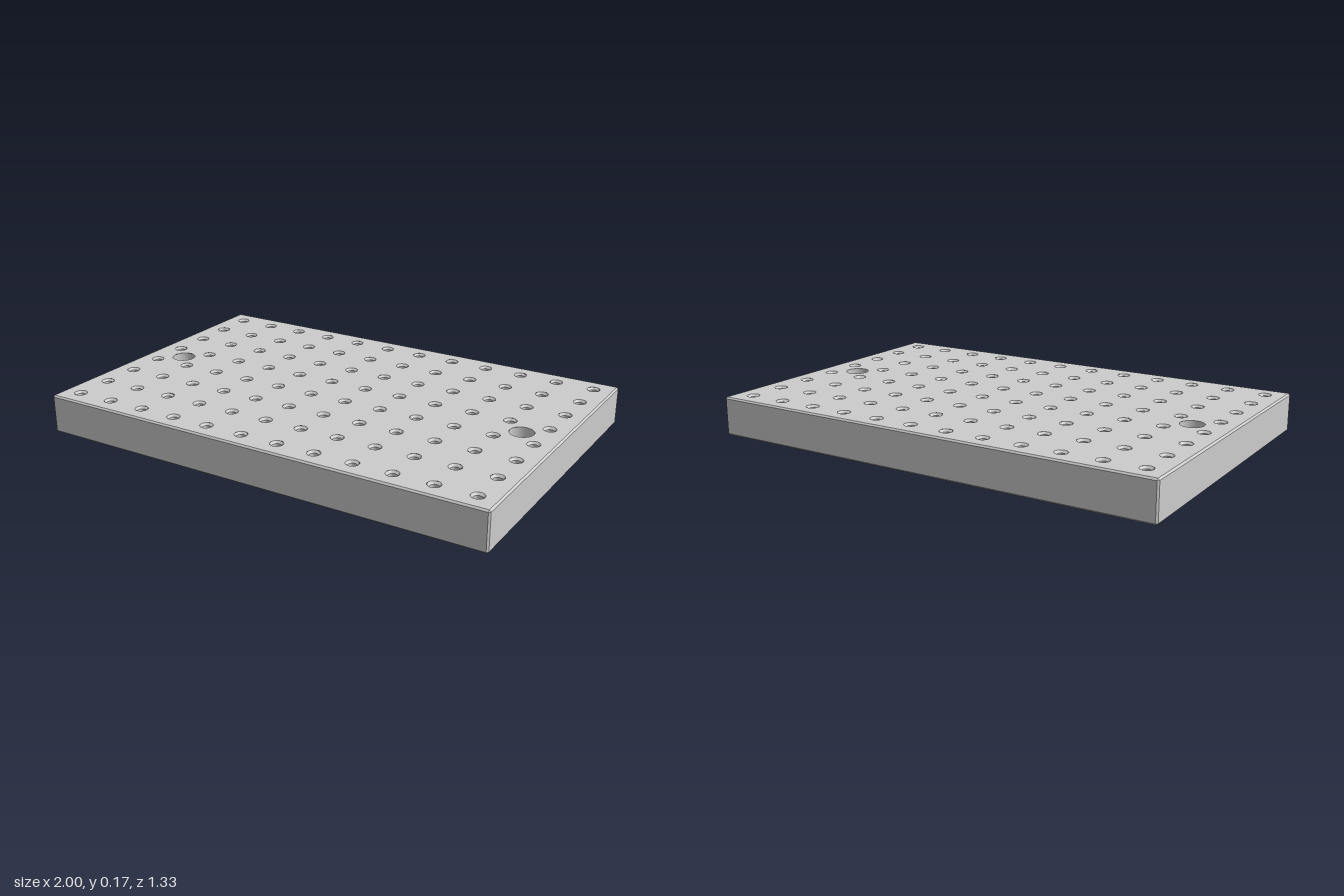
import * as THREE from 'three';
import { mergeGeometries, toCreasedNormals } from 'three/addons/utils/BufferGeometryUtils.js';

const PITCH = 1 / 6, X = 1, Z = 2 / 3, H = 1 / 6, C = 0.007;
const BORE = 0.018, SINK = 0.027, MOUNT = 0.05, SEG = 24;

// Hole centres: a 12 x 8 grid of tapped holes and two mounting holes
const gridHoles = [];
for (let i = 0; i < 12; i++)
  for (let j = 0; j < 8; j++) gridHoles.push([(i - 5.5) * PITCH, (j - 3.5) * PITCH]);
const mountHoles = [[-5 * PITCH, 0], [5 * PITCH, 0]];

// Flat face of the plate, pierced by every hole
function faceGeometry() {
  const x = X - C, z = Z - C;
  const shape = new THREE.Shape([[-x, -z], [x, -z], [x, z], [-x, z]].map(p => new THREE.Vector2(...p)));
  const pierce = (centres, r) => centres.forEach(([cx, cz]) =>
    shape.holes.push(new THREE.Path().absarc(cx, cz, r, 0, Math.PI * 2, true)));
  pierce(gridHoles, SINK);
  pierce(mountHoles, MOUNT);
  return new THREE.ShapeGeometry(shape, SEG);
}

// Eight-cornered outline; e is the inset of the walls, c the corner cut
function ring(y, e, c) {
  const x = X - e, z = Z - e;
  return [[x, z - c], [x - c, z], [c - x, z], [-x, z - c], [-x, c - z], [c - x, -z], [x - c, -z], [x, c - z]]
    .map(([px, pz]) => [px, y, pz]);
}

// Side walls with chamfered edges all round
function sideGeometry() {
  const rings = [ring(0, C, 0), ring(C, 0, C), ring(H - C, 0, C), ring(H, C, 0)];
  const pos = [];
  for (let k = 0; k < 3; k++)
    for (let i = 0; i < 8; i++) {
      const j = (i + 1) % 8;
      const a = rings[k][i], b = rings[k][j], c = rings[k + 1][i], d = rings[k + 1][j];
      pos.push(...a, ...c, ...b, ...b, ...c, ...d);
    }
  const g = new THREE.BufferGeometry();
  g.setAttribute('position', new THREE.Float32BufferAttribute(pos, 3));
  g.computeVertexNormals();
  return g;
}

// Inward-facing hole walls, profile running from top to bottom
function holeGeometry(profile, centres) {
  const wall = toCreasedNormals(
    new THREE.LatheGeometry(profile.map(p => new THREE.Vector2(...p)), SEG), 0.6);
  return mergeGeometries(centres.map(([x, z]) => wall.clone().translate(x, 0, z)));
}

export function createModel() {
  const group = new THREE.Group();
  group.name = 'perforatedPlate';
  const material = new THREE.MeshStandardMaterial({ color: 0xcccccc });
  const add = (name, geometry) => {
    const mesh = new THREE.Mesh(geometry, material);
    mesh.name = name;
    group.add(mesh);
  };

  add('topFace', faceGeometry().rotateX(-Math.PI / 2).translate(0, H, 0));
  add('bottomFace', faceGeometry().rotateX(Math.PI / 2));
  add('sideWalls', sideGeometry());

  // Countersunk at both ends
  const d = SINK - BORE;
  add('gridHoles', holeGeometry([[SINK, H], [BORE, H - d], [BORE, d], [SINK, 0]], gridHoles));
  add('mountingHoles', holeGeometry([[MOUNT, H], [MOUNT, 0]], mountHoles));
  return group;
}
